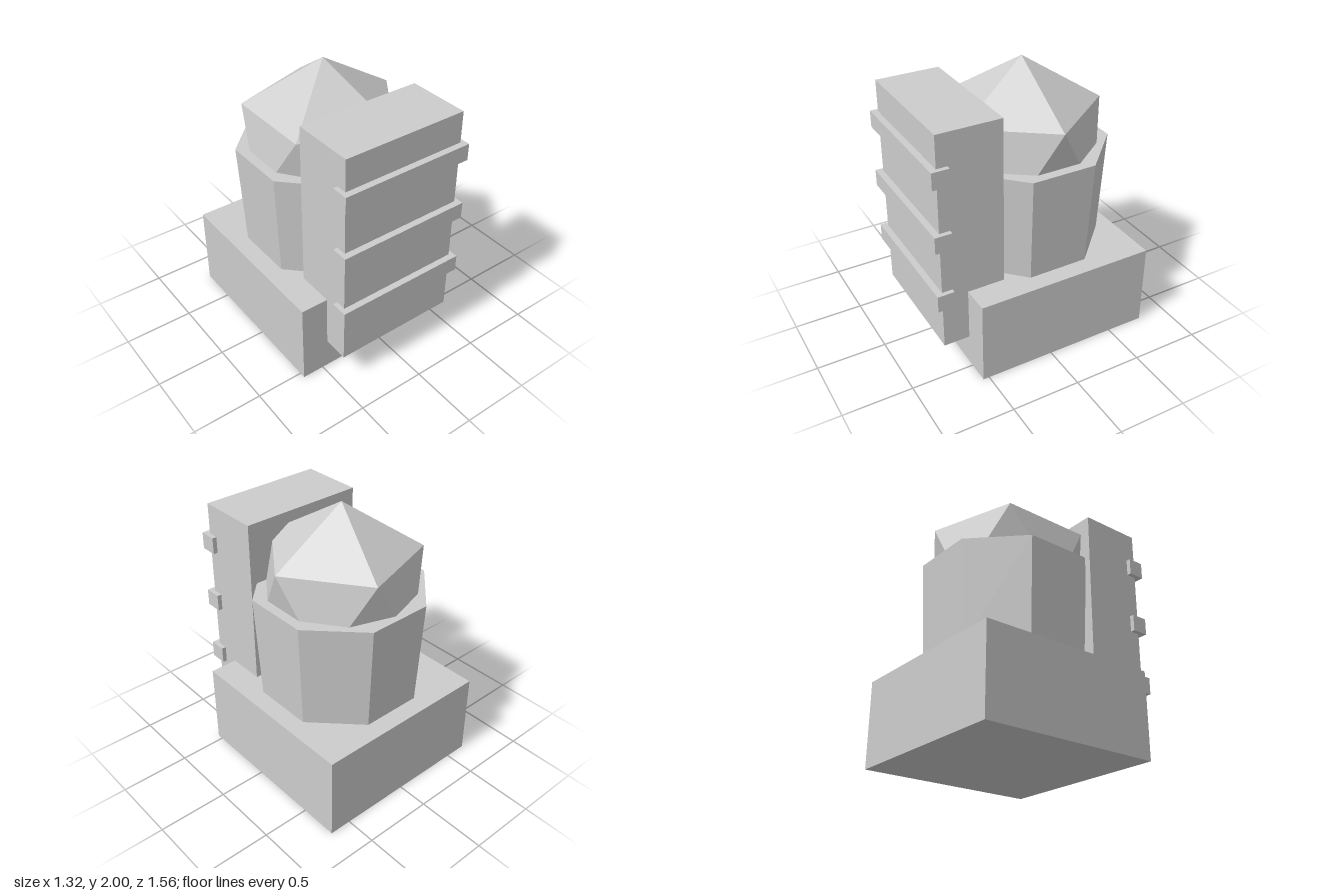
import * as THREE from 'three';

export function createModel() {
  const group = new THREE.Group();
  const grey = new THREE.MeshStandardMaterial({ color: 0xcccccc, flatShading: true });
  grey.name = 'plainGrey';

  const add = (name, geometry, x, y, z) => {
    const mesh = new THREE.Mesh(geometry, grey);
    mesh.name = name;
    mesh.position.set(x, y, z);
    group.add(mesh);
    return mesh;
  };

  const axisZ = -0.117; // shared centre of base, drum and dome

  // Square plinth
  add('base', new THREE.BoxGeometry(1.32, 0.618, 1.322), 0, 0.309, axisZ);

  // Eight-sided drum, slightly wider at the top
  const apothem = Math.cos(Math.PI / 8);
  const drum = new THREE.CylinderGeometry(0.567 / apothem, 0.53 / apothem, 0.767, 8, 1, false, Math.PI / 8);
  add('drum', drum, 0, 1.0015, axisZ);

  // Faceted dome: an icosahedron standing on one corner, half sunk in the drum
  const dome = new THREE.IcosahedronGeometry(0.615, 0);
  dome.rotateZ(-Math.atan(2 / (1 + Math.sqrt(5))));
  add('dome', dome, 0, 1.385, axisZ);

  // Upright block on the front
  add('frontBlock', new THREE.BoxGeometry(0.918, 1.6, 0.46), 0, 1.03, 0.502);

  // Three bands wrapped over the front block
  [0.62, 1.08, 1.542].forEach((y, i) => {
    add('band' + (i + 1), new THREE.BoxGeometry(0.982, 0.122, 0.122), 0, y, 0.717);
  });

  return group;
}
